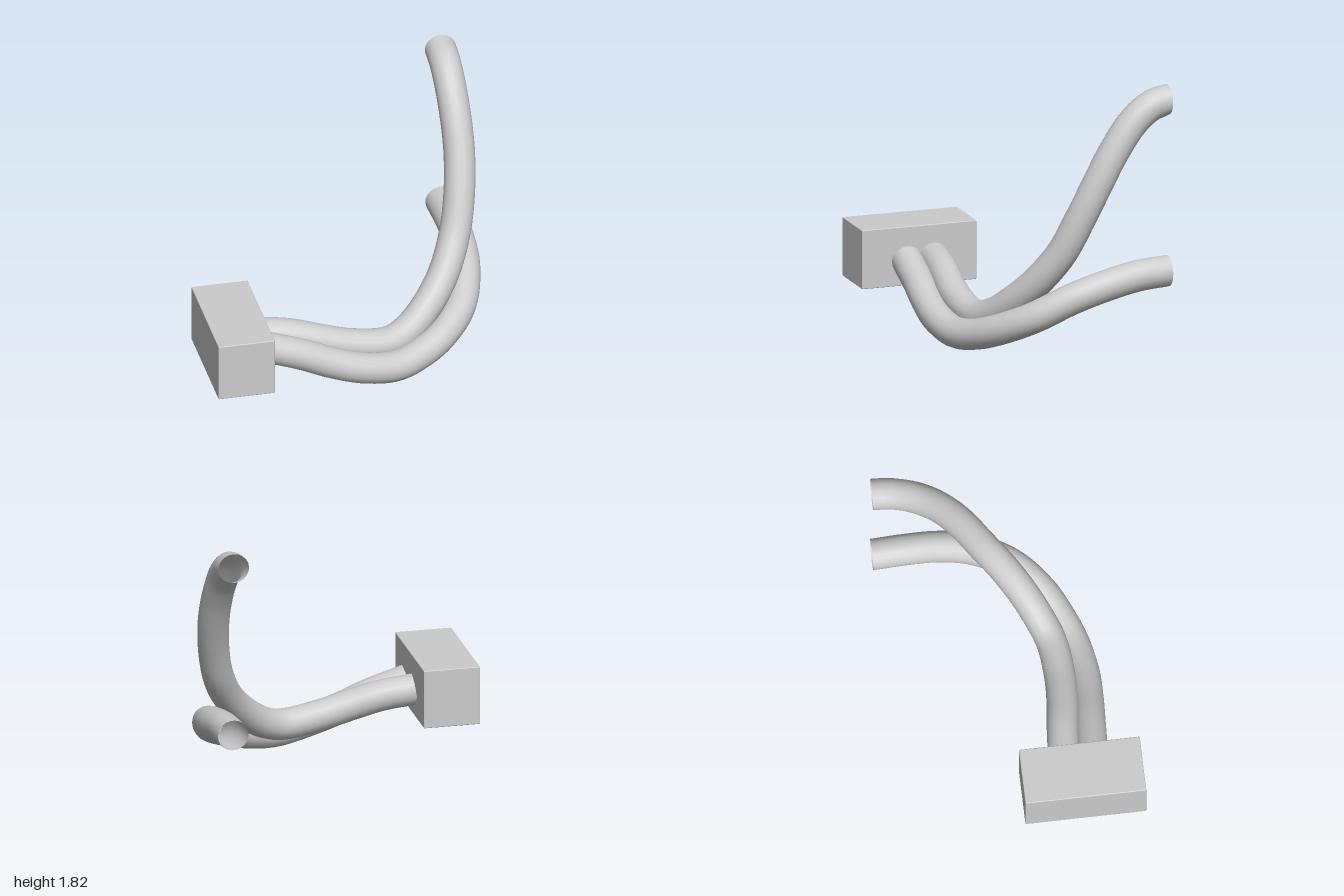
import * as THREE from 'three';
import { RoundedBoxGeometry } from 'three/addons/geometries/RoundedBoxGeometry.js';

const RADIUS = 0.104;
const END_Z = -0.8;

// Open pipe swept along a centreline, with its far mouth cut square at END_Z
function makePipe(name, points, material) {
  const path = new THREE.CatmullRomCurve3(points.map(p => new THREE.Vector3(...p)), false, 'centripetal');
  const segments = 56, sides = 20;
  const geometry = new THREE.TubeGeometry(path, segments, RADIUS, sides, false);
  const pos = geometry.attributes.position;
  for (let i = segments * (sides + 1); i < pos.count; i++) pos.setZ(i, END_Z);
  const mesh = new THREE.Mesh(geometry, material);
  mesh.name = name;
  return mesh;
}

export function createModel() {
  const model = new THREE.Group();
  model.name = 'pipeAssembly';
  const solid = new THREE.MeshStandardMaterial({ color: 0xcccccc });
  const thin = new THREE.MeshStandardMaterial({ color: 0xcccccc, side: THREE.DoubleSide });

  // Block with slightly softened edges
  const block = new THREE.Mesh(new RoundedBoxGeometry(0.38, 0.4, 0.8, 2, 0.006), solid);
  block.name = 'mountingBlock';
  block.position.set(-0.81, 0.41, 0.4);
  model.add(block);

  // Front pipe: dips low, then sweeps round to the back
  model.add(makePipe('lowerPipe', [
    [-0.625, 0.385, 0.487], [-0.37, 0.3, 0.5], [-0.16, 0.212, 0.51], [0.04, 0.147, 0.508],
    [0.27, 0.108, 0.467], [0.46, 0.137, 0.39], [0.62, 0.197, 0.295], [0.79, 0.302, 0.115],
    [0.873, 0.43, -0.13], [0.892, 0.502, -0.35], [0.88, 0.548, -0.58], [0.866, 0.562, END_Z],
  ], thin));

  // Rear pipe: shallower dip, then climbs steeply and levels off
  model.add(makePipe('upperPipe', [
    [-0.625, 0.385, 0.297], [-0.4, 0.352, 0.315], [-0.2, 0.295, 0.337], [0, 0.24, 0.344],
    [0.26, 0.207, 0.317], [0.41, 0.256, 0.255], [0.55, 0.362, 0.17], [0.69, 0.52, 0.05],
    [0.795, 0.73, -0.085], [0.852, 0.97, -0.195], [0.878, 1.2, -0.305], [0.88, 1.4, -0.413],
    [0.872, 1.595, -0.555], [0.866, 1.695, -0.685], [0.863, 1.725, END_Z],
  ], thin));

  return model;
}
